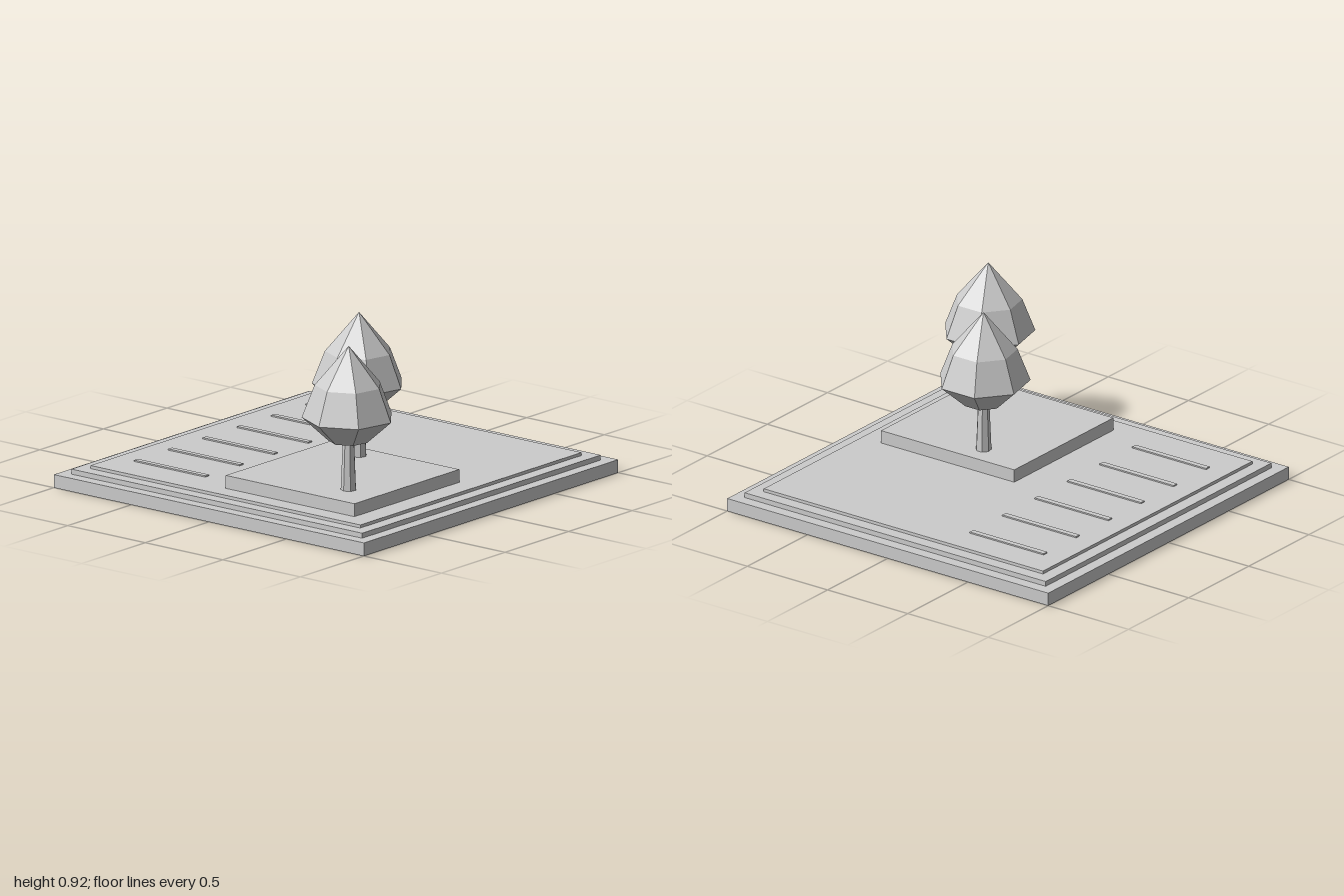
import * as THREE from 'three';

const stone = new THREE.MeshStandardMaterial({ name: 'plain grey', color: 0xcccccc, flatShading: true });

// Box given by its extents on each axis
function slab(name, x0, x1, y0, y1, z0, z1) {
  const mesh = new THREE.Mesh(new THREE.BoxGeometry(x1 - x0, y1 - y0, z1 - z0), stone);
  mesh.position.set((x0 + x1) / 2, (y0 + y1) / 2, (z0 + z1) / 2);
  mesh.name = name;
  return mesh;
}

// Seven-sided solid turned from [radius, height] pairs, one corner pointing to -x
function turned(name, profile) {
  const points = profile.map(([r, y]) => new THREE.Vector2(r, y));
  const mesh = new THREE.Mesh(new THREE.LatheGeometry(points, 7, -Math.PI / 2), stone);
  mesh.name = name;
  return mesh;
}

function makeTree(x, z) {
  const tree = new THREE.Group();
  tree.name = 'tree';
  tree.add(turned('trunk', [[0.04, 0.177], [0.029, 0.44]]));
  tree.add(turned('canopy', [[0, 0.43], [0.102, 0.43], [0.235, 0.55], [0.17, 0.718], [0, 0.92]]));
  tree.position.set(x, 0, z);
  return tree;
}

export function createModel() {
  const model = new THREE.Group();
  model.name = 'parkingPlot';

  // Stepped ground
  model.add(slab('base', -1, 1, 0, 0.068, -1, 1));
  model.add(slab('kerb', -0.938, 0.938, 0.068, 0.094, -0.938, 0.938));
  model.add(slab('pavement', -0.87, 0.87, 0.094, 0.11, -0.87, 0.87));

  // Raised planter with two trees
  model.add(slab('planter', -0.77, 0.055, 0.11, 0.177, -0.08, 0.75));
  model.add(makeTree(-0.583, 0.56), makeTree(-0.063, 0.2));

  // Row of parking bay lines
  for (let i = 0; i < 6; i++) {
    const x = -0.66 + i * 0.27;
    model.add(slab('bayLine', x - 0.015, x + 0.015, 0.11, 0.117, -0.75, -0.29));
  }
  return model;
}
